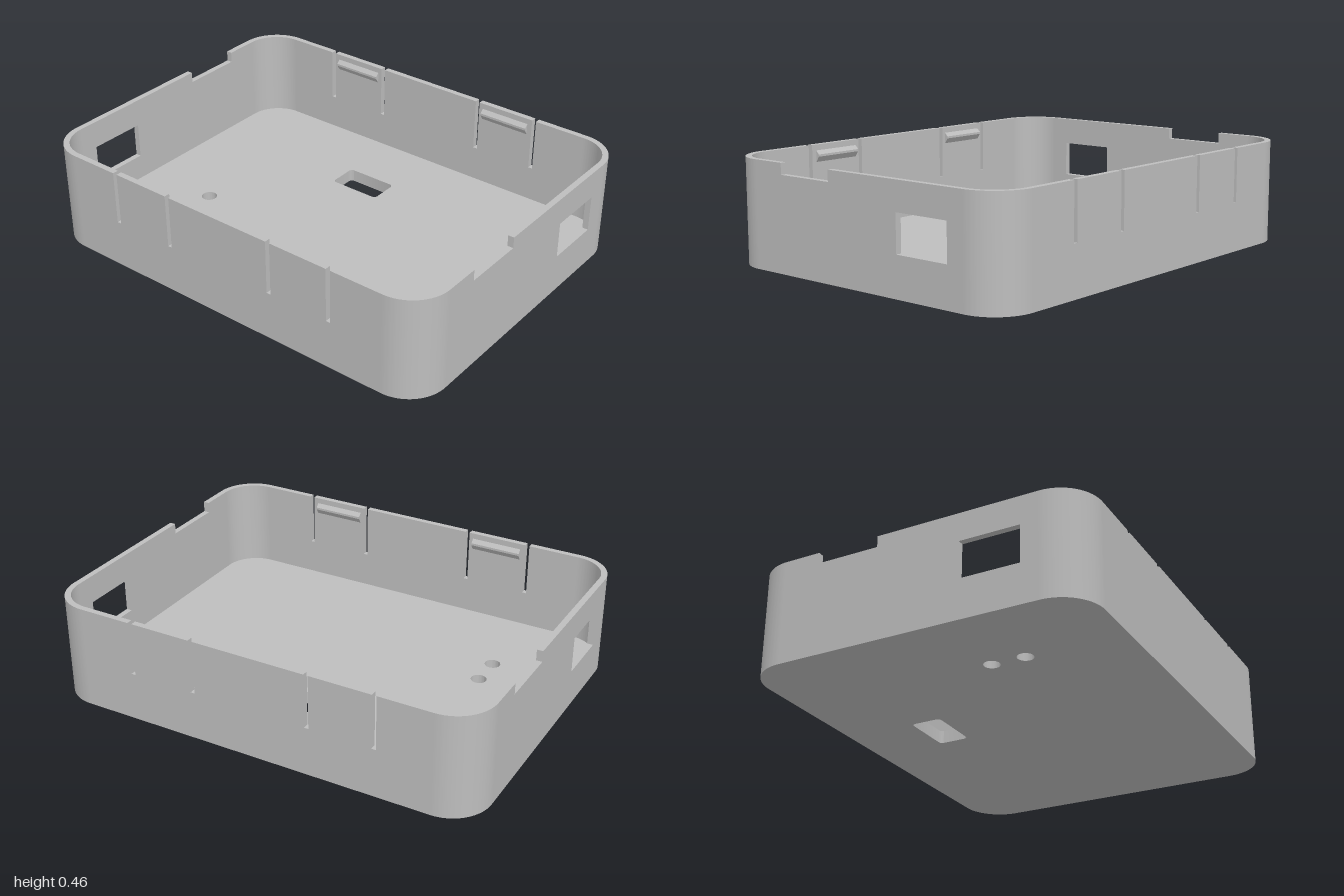
import * as THREE from 'three';
import { toCreasedNormals } from 'three/addons/utils/BufferGeometryUtils.js';

const W = 1, D = 0.758, H = 0.463;        // half width, half depth, height
const R = 0.18, T = 0.027, FLOOR = 0.058; // corner radius, wall and floor thickness
const SLOT_X = [-0.573, -0.273, 0.267, 0.567];
const CLIP_X = [-0.421, 0.415];

const plastic = new THREE.MeshStandardMaterial({ color: 0xbdbdbd });
plastic.name = 'grey plastic';

function roundedRect(path, x0, y0, x1, y1, r) {
  path.moveTo(x0 + r, y0);
  path.lineTo(x1 - r, y0);
  path.absarc(x1 - r, y0 + r, r, -Math.PI / 2, 0);
  path.lineTo(x1, y1 - r);
  path.absarc(x1 - r, y1 - r, r, 0, Math.PI / 2);
  path.lineTo(x0 + r, y1);
  path.absarc(x0 + r, y1 - r, r, Math.PI / 2, Math.PI);
  path.lineTo(x0, y0 + r);
  path.absarc(x0 + r, y0 + r, r, Math.PI, Math.PI * 1.5);
  return path;
}

function polygon(points) {
  return new THREE.Shape(points.map(([x, y]) => new THREE.Vector2(x, y)));
}

function extrude(shape, depth) {
  const g = new THREE.ExtrudeGeometry(shape, { depth, bevelEnabled: false, curveSegments: 20 });
  return toCreasedNormals(g, 0.5);
}

function part(name, geometry) {
  const mesh = new THREE.Mesh(geometry, plastic);
  mesh.name = name;
  return mesh;
}

export function createModel() {
  const model = new THREE.Group();
  model.name = 'enclosureTray';

  // Floor with a rounded port and two round holes (shape y is -z)
  const floor = roundedRect(new THREE.Shape(), -W + T, -D + T, W - T, D - T, R - T);
  floor.holes.push(roundedRect(new THREE.Path(), -0.235, 0.295, 0.01, 0.435, 0.018));
  for (const z of [0.167, 0.317]) {
    floor.holes.push(new THREE.Path().absarc(-0.605, -z, 0.035, 0, Math.PI * 2, true));
  }
  model.add(part('floor', extrude(floor, FLOOR).rotateX(-Math.PI / 2)));

  // Long walls, slotted from the top edge to free the snap tabs
  const outline = [[-W + R, 0], [W - R, 0], [W - R, H]];
  for (const x of [...SLOT_X].reverse()) {
    outline.push([x + 0.01, H], [x + 0.01, 0.22], [x - 0.01, 0.22], [x - 0.01, H]);
  }
  outline.push([-W + R, H]);
  const longWall = extrude(polygon(outline), T);
  for (const [name, z] of [['frontWall', D - T], ['backWall', -D]]) {
    const wall = part(name, longWall);
    wall.position.z = z;
    model.add(wall);
  }

  // Short walls with a rim notch and a window, turned half a circle for the other side
  const side = polygon([
    [-D + R, 0], [D - R, 0], [D - R, H],
    [-0.137, H], [-0.137, 0.414], [-0.418, 0.414], [-0.418, H], [-D + R, H],
  ]);
  side.holes.push(polygon([[0.237, 0.175], [0.237, 0.338], [0.5, 0.338], [0.5, 0.175]]));
  const sideWall = extrude(side, T).rotateY(Math.PI / 2).translate(W - T, 0, 0);
  const leftWall = part('leftWall', sideWall);
  const rightWall = part('rightWall', sideWall);
  rightWall.rotation.y = Math.PI;
  model.add(leftWall, rightWall);

  // Rounded corner posts
  const arc = new THREE.Shape();
  arc.absarc(0, 0, R, 0, Math.PI / 2, false);
  arc.absarc(0, 0, R - T, Math.PI / 2, 0, true);
  const cornerGeometry = extrude(arc, H).rotateX(-Math.PI / 2);
  const corners = [[1, -1], [-1, -1], [-1, 1], [1, 1]];
  corners.forEach(([sx, sz], i) => {
    const corner = part('corner', cornerGeometry);
    corner.position.set(sx * (W - R), 0, sz * (D - R));
    corner.rotation.y = i * Math.PI / 2;
    model.add(corner);
  });

  // Wedge-shaped snap ridges inside the tabs
  const wedge = polygon([[0, 0.385], [0.017, 0.41], [0.017, 0.42], [0, 0.437]]);
  const ridge = extrude(wedge, 0.238).translate(0, 0, -0.119).rotateY(-Math.PI / 2);
  for (const x of CLIP_X) {
    for (const s of [-1, 1]) {
      const clip = part('snapRidge', ridge);
      clip.position.set(x, 0, s * (D - T));
      clip.rotation.y = s > 0 ? Math.PI : 0;
      model.add(clip);
    }
  }
  return model;
}
